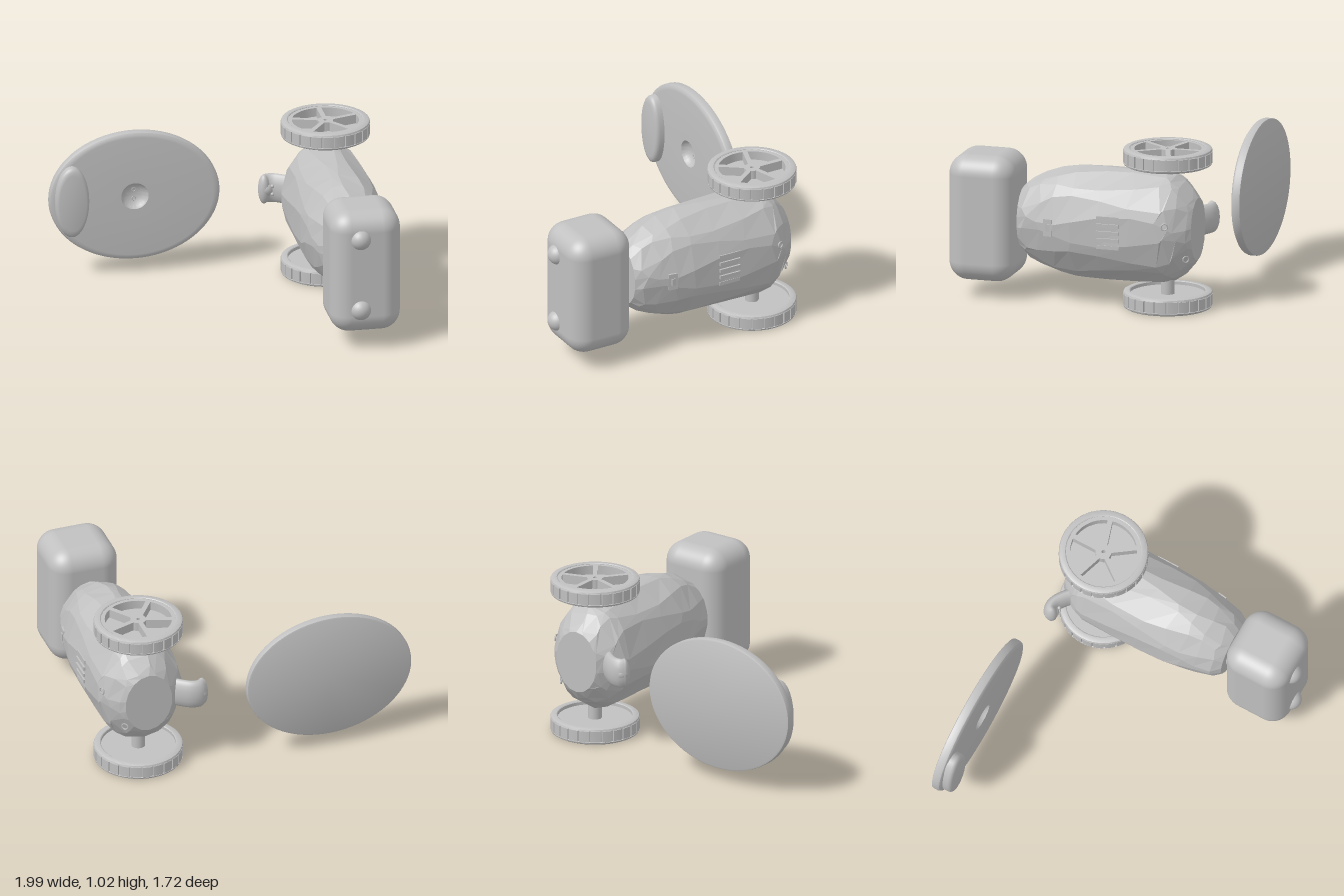
import * as THREE from 'three';
import { toCreasedNormals } from 'three/addons/utils/BufferGeometryUtils.js';
import { RoundedBoxGeometry } from 'three/addons/geometries/RoundedBoxGeometry.js';

const CX = 0.712, CY = 0.518; // centre of the body axis

export function createModel() {
  const model = new THREE.Group();
  const grey = new THREE.MeshStandardMaterial({ color: 0xc0c0c0 });
  grey.name = 'plain grey';
  const greyFaceted = grey.clone();
  greyFaceted.flatShading = true;

  const add = (name, geo, x = 0, y = 0, z = 0, parent = model, mat = grey) => {
    const m = new THREE.Mesh(geo, mat);
    m.name = name;
    m.position.set(x, y, z);
    parent.add(m);
    return m;
  };
  const lathe = (pts, seg) => new THREE.LatheGeometry(pts.map(p => new THREE.Vector2(...p)), seg);
  const crease = g => toCreasedNormals(g, 0.6);

  // Body: faceted barrel along z, oval in section
  const profile = [[0, -0.78], [0.2, -0.78], [0.24, -0.755], [0.31, -0.69], [0.345, -0.64], [0.358, -0.59],
    [0.36, -0.4], [0.36, -0.2], [0.356, -0.02], [0.337, 0.1], [0.305, 0.2], [0.255, 0.3], [0.2, 0.355], [0, 0.355]];
  const aspect = z => 0.775 + 0.09 * THREE.MathUtils.smoothstep(z, 0.15, 0.355);
  const radiusAt = z => {
    const i = profile.findIndex((p, k) => k > 1 && p[1] >= z);
    const [a, b] = [profile[i - 1], profile[i]];
    return a[0] + (b[0] - a[0]) * (z - a[1]) / (b[1] - a[1]);
  };
  const sideX = (y, z) => {
    const r = radiusAt(z);
    return CX + aspect(z) * Math.sqrt(r * r - (y - CY) ** 2);
  };
  const bodyGeo = lathe(profile, 18).rotateX(Math.PI / 2);
  const pos = bodyGeo.attributes.position;
  for (let i = 0; i < pos.count; i++) {
    const row = i % profile.length, col = Math.floor(i / profile.length) % 18;
    let x = pos.getX(i), y = pos.getY(i), z = pos.getZ(i);
    if (row > 1 && row < profile.length - 2) {
      // slide each corner along the surface for uneven facets
      const a = Math.atan2(y, x) + 0.11 * Math.sin(row * 7.3 + col * 4.1);
      z += 0.018 * Math.sin(row * 3.7 + col * 9.2);
      const r = radiusAt(z);
      x = r * Math.cos(a);
      y = r * Math.sin(a);
    }
    pos.setXYZ(i, x * aspect(z), y, z);
  }
  add('body', bodyGeo, CX, CY, 0, model, greyFaceted);

  // Vent bars, switch and screw bosses on the side
  for (let i = 0; i < 5; i++) {
    const y = 0.423 + i * 0.0465;
    add('ventBar', new THREE.BoxGeometry(0.012, 0.024, 0.145), sideX(y, -0.27) - 0.003, y, -0.27);
  }
  const switchX = sideX(CY, 0.126);
  const plate = add('switchPlate', new THREE.BoxGeometry(0.02, 0.11, 0.06), switchX - 0.008, CY, 0.126);
  plate.rotation.y = -0.12;
  add('switchButton', new THREE.BoxGeometry(0.02, 0.045, 0.028), switchX - 0.002, CY, 0.126);
  for (const [y, z, turn] of [[0.58, -0.64, 0.35], [0.353, -0.745, 0.8]]) {
    const boss = add('screwRing', new THREE.TorusGeometry(0.02, 0.005, 6, 16), sideX(y, z), y, z);
    boss.rotation.y = Math.PI / 2 + turn;
  }

  // Head, eyes and neck
  add('head', new RoundedBoxGeometry(0.45, 0.807, 0.435, 6, 0.125), 0.71, CY, 0.593);
  for (const s of [-1, 1])
    add('eye', new THREE.SphereGeometry(0.067, 24, 16), 0.667, CY + s * 0.235, 0.787);
  const neckGeo = new THREE.CylinderGeometry(0.085, 0.085, 0.12, 24).rotateX(Math.PI / 2).scale(0.65, 1, 1);
  add('neck', neckGeo, 0.657, CY, 0.365);

  // Wheel: outer face towards +y, local height 0 to 0.108
  const arc = (r, a0, a1, n) => Array.from({ length: n + 1 }, (_, i) => {
    const a = a0 + (a1 - a0) * i / n;
    return new THREE.Vector2(r * Math.cos(a), r * Math.sin(a));
  });
  const extrude = (shape, depth, curveSegments = 32) =>
    crease(new THREE.ExtrudeGeometry(shape, { depth, bevelEnabled: false, curveSegments }).rotateX(-Math.PI / 2));

  const treadPts = [];
  for (let i = 0; i < 24; i++) {
    const a = i * Math.PI / 12;
    treadPts.push(...arc(0.28, a + 0.02, a + 0.235, 3), ...arc(0.271, a + 0.24, a + 0.275, 1));
  }
  const tread = new THREE.Shape(treadPts);
  tread.holes.push(new THREE.Path().absarc(0, 0, 0.25, 0, Math.PI * 2, true));
  const treadGeo = extrude(tread, 0.07);

  const spokes = new THREE.Shape().absarc(0, 0, 0.235, 0, Math.PI * 2);
  spokes.holes.push(new THREE.Path().absarc(0, 0, 0.012, 0, Math.PI * 2, true));
  for (let i = 0; i < 5; i++) {
    const a = Math.PI / 2 + i * Math.PI * 0.4, b = a + Math.PI * 0.4;
    spokes.holes.push(new THREE.Path([...arc(0.21, a + 0.075, b - 0.075, 10), ...arc(0.05, b - 0.3, a + 0.3, 4)]));
  }
  const spokeGeo = extrude(spokes, 0.06);
  const tireGeo = crease(lathe([[0.235, 0.004], [0.24, 0], [0.265, 0], [0.276, 0.006], [0.28, 0.016], [0.271, 0.018],
    [0.271, 0.09], [0.28, 0.092], [0.276, 0.102], [0.265, 0.108], [0.24, 0.108], [0.235, 0.104], [0.235, 0.004]], 48));

  for (const s of [1, -1]) {
    const wheel = new THREE.Group();
    wheel.name = s > 0 ? 'upperWheel' : 'lowerWheel';
    wheel.position.set(0.714, CY + s * 0.404, -0.583);
    if (s < 0) wheel.rotation.z = Math.PI;
    add('tire', tireGeo, 0, 0, 0, wheel);
    add('tread', treadGeo, 0, 0.019, 0, wheel);
    add('spokes', spokeGeo, 0, 0.042, 0, wheel);
    add('wheelDisc', new THREE.CylinderGeometry(0.238, 0.238, 0.02, 48), 0, 0.034, 0, wheel);
    add('axle', new THREE.CylinderGeometry(0.043, 0.043, 0.14, 24), 0, -0.035, 0, wheel);
    model.add(wheel);
  }

  // Hooked arm with a ball joint at its tip
  const armPath = new THREE.CatmullRomCurve3([[0.54, -0.68], [0.48, -0.735], [0.42, -0.772], [0.375, -0.775], [0.35, -0.755]]
    .map(([x, z]) => new THREE.Vector3(x, 0, z / 1)));
  const armGeo = new THREE.TubeGeometry(armPath, 20, 0.042, 16).scale(1, 2.3, 1);
  add('arm', armGeo, 0, CY, 0, model).material = grey;
  add('armTip', new THREE.SphereGeometry(0.042, 20, 14).scale(0.9, 2.3, 1), 0.358, CY, -0.76);
  add('jointBall', new THREE.SphereGeometry(0.05, 20, 14), 0.37, CY, -0.765);
  for (const s of [-1, 1])
    add('jointPin', new THREE.SphereGeometry(0.012, 10, 8), 0.405, CY + s * 0.027, -0.728);

  // Loose oval plate with a round socket in its front
  const plateGeo = lathe([[0, -0.032], [0.53, -0.032], [0.541, -0.028], [0.543, -0.02], [0.543, 0.01], [0.537, 0.022],
    [0.52, 0.031], [0.5, 0.033], [0.087, 0.033], [0.078, 0.012], [0.06, -0.005], [0.035, -0.014], [0, -0.017]], 72)
    .rotateX(Math.PI / 2);
  const pp = plateGeo.attributes.position;
  for (let i = 0; i < pp.count; i++)
    if (Math.hypot(pp.getX(i), pp.getY(i)) > 0.1) pp.setY(i, pp.getY(i) * 0.783);
  add('ovalPlate', crease(plateGeo), -0.457, CY, -0.828);
  for (const s of [-1, 1])
    add('socketRing', new THREE.TorusGeometry(0.012, 0.003, 6, 14), -0.457, CY + s * 0.029, -0.838);

  // Raised oval pad on the plate
  const padGeo = lathe([[0, -0.01], [1, -0.01], [1, 0.03], [0.97, 0.042], [0.9, 0.051], [0.8, 0.055], [0, 0.055]], 48)
    .rotateX(Math.PI / 2).scale(0.107, 0.233, 1);
  add('ovalPad', crease(padGeo), -0.861, CY, -0.795);

  return model;
}
